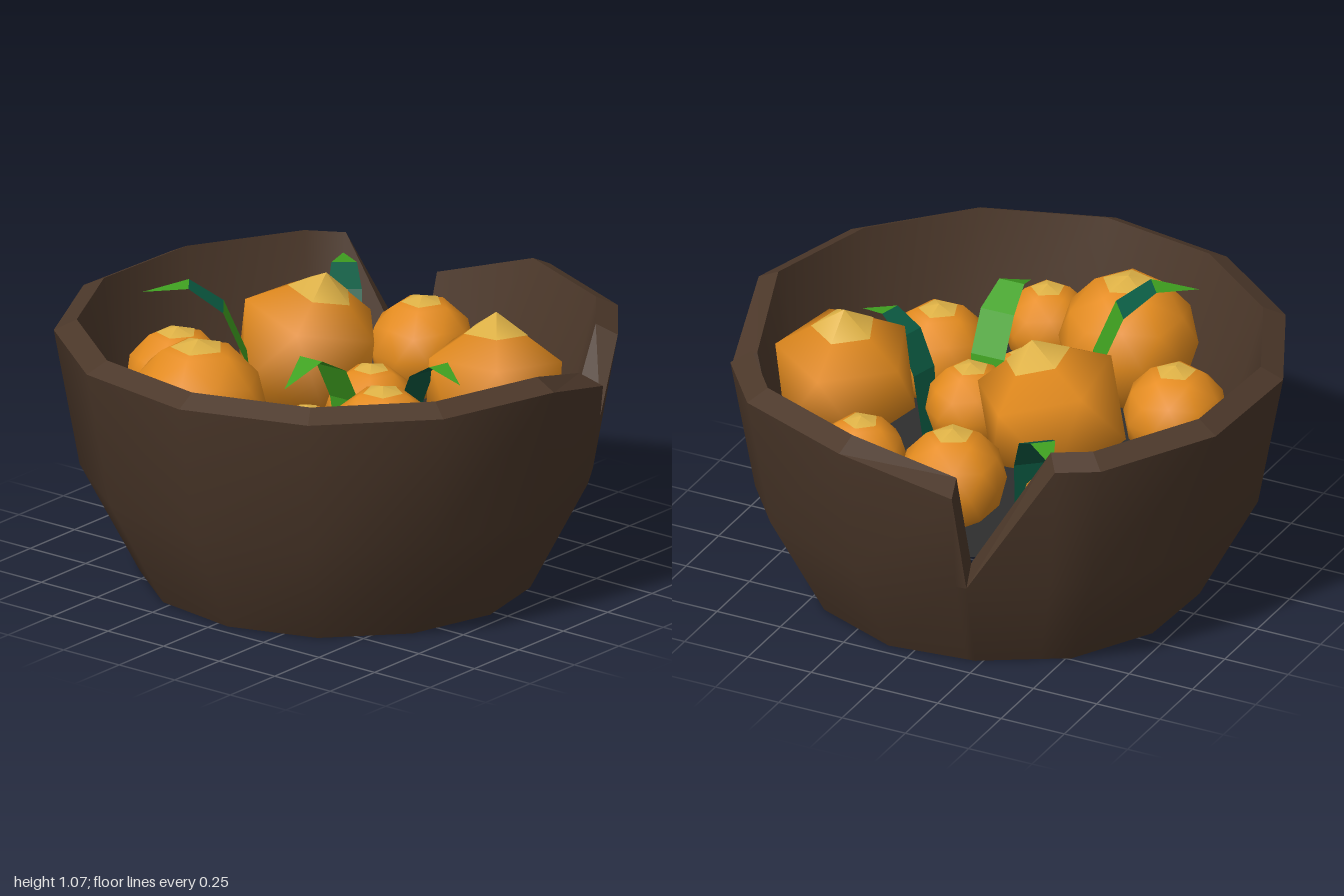
import * as THREE from 'three';
import { mergeVertices } from 'three/addons/utils/BufferGeometryUtils.js';

const material = (name, color, side = THREE.FrontSide) => {
  const m = new THREE.MeshStandardMaterial({ color, side });
  m.name = name;
  return m;
};

// Surface through rows of points; closed rows join their last column to the first
function loft(rows, closed = true, flat = false) {
  const n = rows[0].length, index = [];
  for (let r = 0; r < rows.length - 1; r++) {
    for (let i = 0; i < (closed ? n : n - 1); i++) {
      const j = (i + 1) % n, a = r * n, b = a + n;
      index.push(a + i, a + j, b + j, a + i, b + j, b + i);
    }
  }
  let g = new THREE.BufferGeometry();
  g.setAttribute('position', new THREE.Float32BufferAttribute(rows.flat(2), 3));
  g.setIndex(index);
  if (flat) g = g.toNonIndexed();
  g.computeVertexNormals();
  return g;
}

// Flat polygon filled from the centre
function disc(ring, y, up) {
  const pts = [[0, y, 0], ...ring.map(([x, , z]) => [x, y, z])], index = [], n = ring.length;
  for (let i = 0; i < n; i++) {
    const a = i + 1, b = (i + 1) % n + 1;
    index.push(0, up ? a : b, up ? b : a);
  }
  const g = new THREE.BufferGeometry();
  g.setAttribute('position', new THREE.Float32BufferAttribute(pts.flat(), 3));
  g.setIndex(index);
  g.computeVertexNormals();
  return g;
}

export function createModel() {
  const model = new THREE.Group();
  model.name = 'bowlOfFruit';
  const brown = material('bowl brown', 0x4c382a);
  const dark = material('bowl floor', 0x2e2e2e);
  const orange = material('fruit orange', 0xe58c1e);
  const yellow = material('fruit top yellow', 0xdfb246);
  const green = material('leaf green', 0x3fa020, THREE.DoubleSide);
  const teal = material('leaf dark green', 0x0b5a42, THREE.DoubleSide);
  const add = (name, geometry, mat, parent = model) => {
    const mesh = new THREE.Mesh(geometry, mat);
    mesh.name = name;
    parent.add(mesh);
    return mesh;
  };

  // Bowl columns: rim x, z and rim height; the low ones form the two cracks
  const columns = [
    [-0.04, 0.99, 0.9], [0.38, 0.9, 0.785], [0.42, 0.885, 0.655], [0.57, 0.79, 0.9],
    [0.81, 0.6, 0.9], [1, 0.14, 0.9], [0.95, -0.275, 0.785], [0.945, -0.32, 0.4],
    [0.78, -0.6, 0.9], [0.7, -0.74, 0.9], [0.28, -0.98, 0.9], [-0.2, -1, 0.9],
    [-0.63, -0.79, 0.9], [-0.92, -0.41, 0.9], [-1, 0.07, 0.9], [-0.85, 0.53, 0.9], [-0.5, 0.86, 0.9],
  ];
  const ring = (scale, height) => columns.map(([x, z, top]) => {
    const y = height(top), s = scale(y);
    return [x * s, y, z * s];
  });
  const floorY = 0.47;
  const outerScale = y => 0.91 + (y - 0.4) * 0.18;
  const innerScale = y => 0.92 - (0.94 - y) * 0.255;
  const base = ring(() => 0.7, () => 0);
  const belly = ring(() => 0.91, () => 0.4);
  const rimOuter = ring(outerScale, t => t);
  const rimInner = ring(innerScale, t => t + 0.04);
  const innerFoot = ring(innerScale, () => 0.42);

  const bowl = new THREE.Group();
  bowl.name = 'bowl';
  model.add(bowl);
  add('outerWall', loft([base, belly, rimOuter]), brown, bowl);
  add('rim', loft([rimOuter, rimInner], true, true), brown, bowl);
  add('innerWall', loft([rimInner, innerFoot]), brown, bowl);
  add('underside', disc(base, 0, false), brown, bowl);
  add('bowlFloor', disc(ring(() => 0.805, () => floorY), floorY, true), dark, bowl);

  // Fruit: x, z, radius, subdivision, tilt
  const fruits = [
    [-0.21, -0.57, 0.187, 1, 0], [-0.53, -0.22, 0.248, 1, 0], [0.12, -0.25, 0.285, 0, 0.14],
    [0.46, -0.44, 0.122, 1, 0], [0.57, -0.09, 0.19, 1, 0], [-0.64, 0.155, 0.158, 1, 0],
    [-0.28, 0.07, 0.122, 1, 0], [0.02, 0.12, 0.163, 1, 0], [-0.24, 0.38, 0.187, 1, 0],
    [0.21, 0.52, 0.275, 0, -0.14], [0.545, 0.285, 0.163, 1, 0],
  ];
  fruits.forEach(([x, z, r, detail, tilt], i) => {
    const fruit = new THREE.Group();
    fruit.name = 'fruit' + (i + 1);
    let body = new THREE.IcosahedronGeometry(r, detail);
    body.deleteAttribute('uv');
    body.deleteAttribute('normal');
    body = mergeVertices(body, 1e-4);
    body.rotateX(-Math.atan((1 + Math.sqrt(5)) / 2)); // one corner straight up
    body.computeVertexNormals();
    add('fruitBody', body, orange, fruit);
    // Five-sided cap lying on the top faces
    const w = detail ? 0.394 * r : 0.43 * r, h = detail ? 0.112 * r : 0.266 * r;
    const cap = new THREE.ConeGeometry(w, h, 5, 1, true);
    cap.translate(0, r - h / 2 + 0.004, 0);
    add('fruitCap', cap, yellow, fruit);
    fruit.position.set(x, floorY + r * 0.98, z);
    fruit.rotation.set(tilt, i * 1.3, tilt);
    model.add(fruit);
  });

  // Leaves: foot x, z, tip x, z, peak height, tip height, half width, colour of each segment
  const leaves = [
    [-0.18, -0.23, -0.43, -0.55, 1.07, 1.04, 0.07, [green, green, teal, green]],
    [-0.13, 0.15, -0.52, 0.16, 0.93, 0.86, 0.065, [green, green, green, green]],
    [0.0, 0.29, -0.08, 0.6, 0.89, 0.85, 0.055, [teal, teal, teal, green]],
    [0.4, -0.3, 0.7, -0.55, 0.89, 0.87, 0.06, [teal, teal, teal, green]],
  ];
  const along = [0, 0.1, 0.3, 0.6, 1], rise = [0, 0.55, 0.86, 1], width = [0.8, 1, 1, 0.75, 0];
  leaves.forEach(([x0, z0, x1, z1, peak, tip, half, mats], i) => {
    const leaf = new THREE.Group();
    leaf.name = 'leaf' + (i + 1);
    const dx = x1 - x0, dz = z1 - z0, len = Math.hypot(dx, dz);
    const rows = along.map((t, k) => {
      const y = k < 4 ? floorY + (peak - floorY) * rise[k] : tip;
      const x = x0 + dx * t, z = z0 + dz * t, s = half * width[k] / len;
      return [[x + dz * s, y, z - dx * s], [x - dz * s, y, z + dx * s]];
    });
    mats.forEach((m, k) => add('leafBlade', loft([rows[k], rows[k + 1]], false), m, leaf));
    model.add(leaf);
  });

  return model;
}
